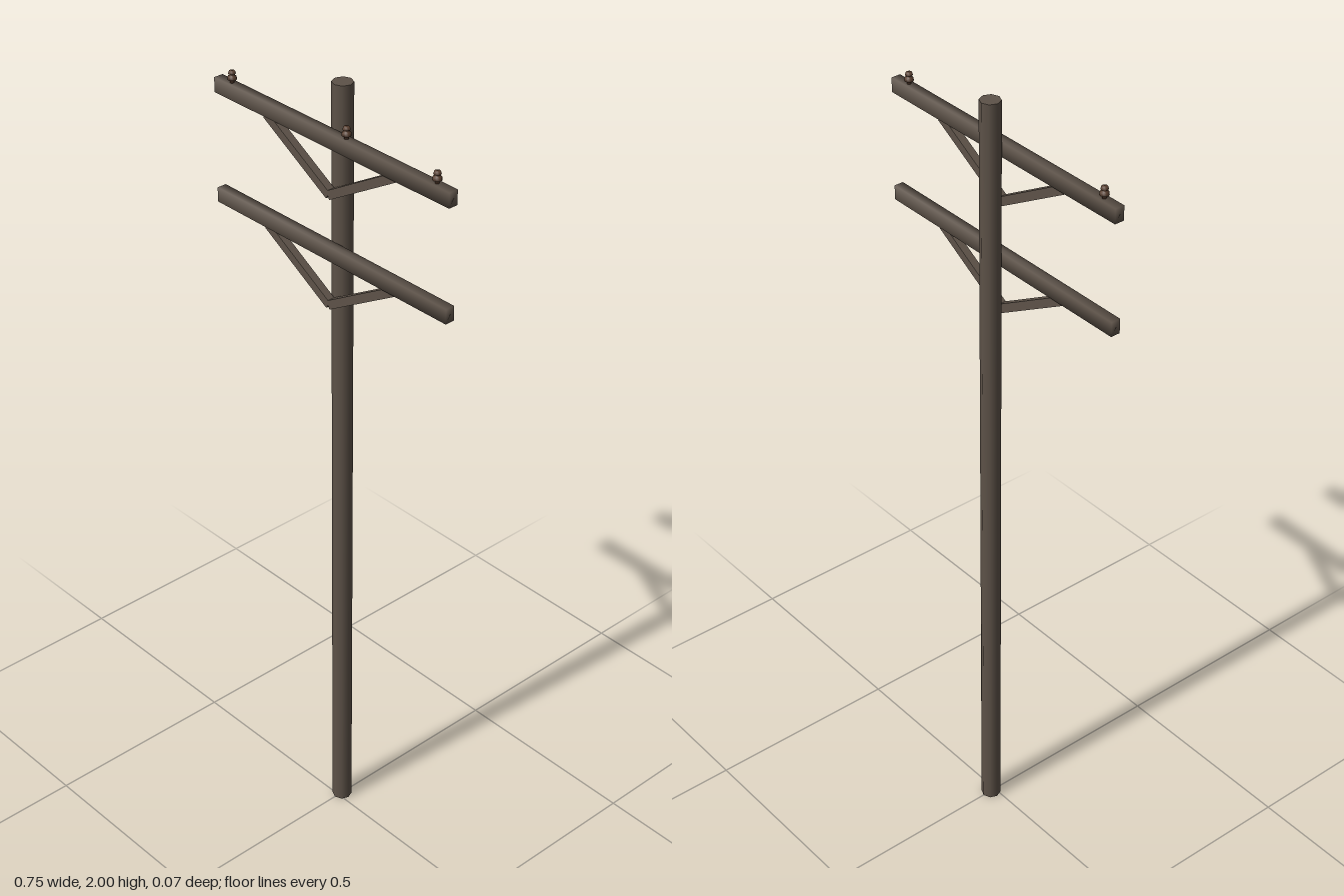
import * as THREE from 'three';
import { mergeVertices } from 'three/addons/utils/BufferGeometryUtils.js';

const wood = new THREE.MeshStandardMaterial({ color: 0x5d5248 });
wood.name = 'weathered wood';
const ceramic = new THREE.MeshStandardMaterial({ color: 0x5a4030 });
ceramic.name = 'brown ceramic';

const ARM_Z = 0.022;

function addMesh(parent, name, geometry, material, x, y, z) {
  const mesh = new THREE.Mesh(geometry, material);
  mesh.name = name;
  mesh.position.set(x, y, z);
  parent.add(mesh);
  return mesh;
}

// Box whose corners share softened normals
function softBox(w, h, d) {
  const box = new THREE.BoxGeometry(w, h, d);
  box.deleteAttribute('normal');
  box.deleteAttribute('uv');
  const geometry = mergeVertices(box);
  geometry.computeVertexNormals();
  return geometry;
}

// Crossarm with a V of two braces running down to the pole
function crossarm(name, y) {
  const group = new THREE.Group();
  group.name = name;
  addMesh(group, 'beam', softBox(0.746, 0.036, 0.024), wood, 0, y, ARM_Z);
  const dx = 0.205, dy = 0.12;
  for (const side of [-1, 1]) {
    const brace = addMesh(group, side > 0 ? 'leftBrace' : 'rightBrace',
      new THREE.BoxGeometry(Math.hypot(dx, dy), 0.021, 0.019), wood,
      side * dx / 2, y - 0.013 - dy / 2, ARM_Z);
    brace.rotation.z = side * Math.atan2(dy, dx);
  }
  return group;
}

// Small pin insulator: stem, skirt, neck and cap
function insulatorGeometry() {
  const profile = [
    [0, 0], [0.005, 0], [0.005, 0.008], [0.011, 0.009], [0.010, 0.016],
    [0.006, 0.018], [0.006, 0.021], [0.009, 0.023], [0.007, 0.029], [0, 0.030],
  ].map(([r, y]) => new THREE.Vector2(r, y));
  return new THREE.LatheGeometry(profile, 10);
}

export function createModel() {
  const model = new THREE.Group();
  model.name = 'utilityPole';

  // Pole
  addMesh(model, 'pole', new THREE.CylinderGeometry(0.0245, 0.0245, 2, 8), wood, 0, 1, -0.0125);

  // Crossarms
  model.add(crossarm('upperCrossarm', 1.878), crossarm('lowerCrossarm', 1.604));

  // Insulators on the upper arm
  const insulator = insulatorGeometry();
  for (const x of [-0.325, 0.05, 0.325]) {
    addMesh(model, 'insulator', insulator, ceramic, x, 1.895, ARM_Z);
  }
  return model;
}
